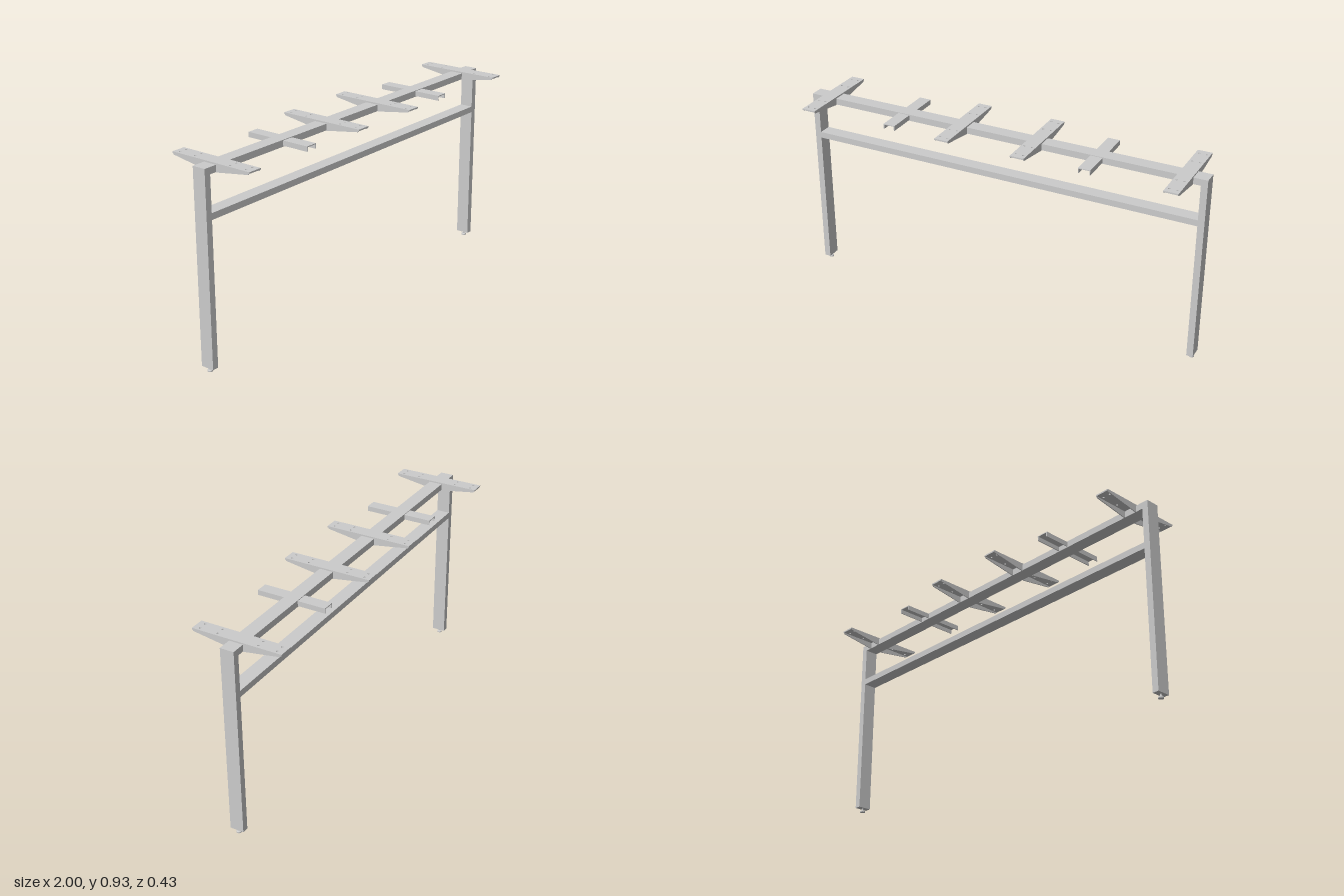
import * as THREE from 'three';

const material = new THREE.MeshStandardMaterial({ color: 0xcccccc, flatShading: true });
const smooth = new THREE.MeshStandardMaterial({ color: 0xcccccc });

const HALF_DEPTH = 0.033; // half depth of every tube
const TUBE = 0.031;       // narrow side of every tube
const BEAM_TOP = 0.926;

function add(parent, name, geometry, x = 0, y = 0, z = 0, mat = material) {
  const mesh = new THREE.Mesh(geometry, mat);
  mesh.name = name;
  mesh.position.set(x, y, z);
  parent.add(mesh);
  return mesh;
}

// Box given by its lower and upper corners
function block(parent, name, x0, x1, y0, y1, z0, z1) {
  return add(parent, name, new THREE.BoxGeometry(x1 - x0, y1 - y0, z1 - z0),
    (x0 + x1) / 2, (y0 + y1) / 2, (z0 + z1) / 2);
}

// Screw-in levelling foot
function foot(x) {
  const g = new THREE.Group();
  g.name = 'levellingFoot';
  add(g, 'footPad', new THREE.CylinderGeometry(0.009, 0.012, 0.003, 24), 0, 0.0075, 0, smooth);
  add(g, 'footBase', new THREE.CylinderGeometry(0.012, 0.012, 0.006, 24), 0, 0.003, 0, smooth);
  add(g, 'footStem', new THREE.CylinderGeometry(0.004, 0.004, 0.016, 16), 0, 0.014, 0, smooth);
  g.position.x = x;
  return g;
}

// Drilled top plate with two tapered flanges on each side of the beam
function topBracket(x) {
  const g = new THREE.Group();
  g.name = 'topBracket';
  const half = 0.034, length = 0.215, top = 0.933, sheet = 0.004;

  const plate = new THREE.Shape([
    new THREE.Vector2(-half, -length), new THREE.Vector2(half, -length),
    new THREE.Vector2(half, length), new THREE.Vector2(-half, length)]);
  for (const hx of [-0.018, 0.018]) {
    for (const hz of [-0.185, -0.098, 0.098, 0.185]) {
      const hole = new THREE.Path();
      hole.absarc(hx, hz, 0.005, 0, Math.PI * 2, true);
      plate.holes.push(hole);
    }
  }
  const plateGeometry = new THREE.ExtrudeGeometry(plate,
    { depth: top - BEAM_TOP, bevelEnabled: false, curveSegments: 8 });
  plateGeometry.rotateX(-Math.PI / 2);
  add(g, 'bracketPlate', plateGeometry, 0, BEAM_TOP, 0);

  for (const s of [-1, 1]) {
    // side profile: shape x runs along the model's z
    const profile = new THREE.Shape([
      [HALF_DEPTH, BEAM_TOP], [HALF_DEPTH, 0.893], [0.208, 0.92], [0.212, BEAM_TOP],
    ].map(([z, y]) => new THREE.Vector2(s * z, y)));
    for (const flangeX of [-half, half - sheet]) {
      const flange = new THREE.ExtrudeGeometry(profile, { depth: sheet, bevelEnabled: false });
      flange.rotateY(-Math.PI / 2);
      add(g, 'bracketFlange', flange, flangeX + sheet, 0, 0);
    }
  }
  g.position.x = x;
  return g;
}

// Short downward-open channel welded to both faces of the beam
function crossChannel(x) {
  const g = new THREE.Group();
  g.name = 'crossChannel';
  const half = 0.029, sheet = 0.004, top = 0.923, bottom = 0.899, length = 0.167;
  for (const s of [-1, 1]) {
    const z0 = s > 0 ? HALF_DEPTH : -length;
    const z1 = s > 0 ? length : -HALF_DEPTH;
    block(g, 'channelWeb', -half, half, top - sheet, top, z0, z1);
    block(g, 'channelWall', -half, -half + sheet, bottom, top - sheet, z0, z1);
    block(g, 'channelWall', half - sheet, half, bottom, top - sheet, z0, z1);
  }
  g.position.x = x;
  return g;
}

export function createModel() {
  const model = new THREE.Group();
  model.name = 'tableFrame';

  // Legs with feet
  for (const s of [-1, 1]) {
    const x = s * (1 - TUBE / 2);
    block(model, 'leg', x - TUBE / 2, x + TUBE / 2, 0.02, BEAM_TOP, -HALF_DEPTH, HALF_DEPTH);
    model.add(foot(x));
  }

  // Horizontal tubes between the legs
  const inner = 1 - TUBE;
  block(model, 'topBeam', -inner, inner, BEAM_TOP - TUBE, BEAM_TOP, -HALF_DEPTH, HALF_DEPTH);
  block(model, 'lowerRail', -inner, inner, 0.697, 0.727, -HALF_DEPTH, HALF_DEPTH);

  // Supports along the top beam
  for (const x of [-0.9, -0.19, 0.188, 0.9]) model.add(topBracket(x));
  for (const x of [-0.49, 0.488]) model.add(crossChannel(x));

  return model;
}
